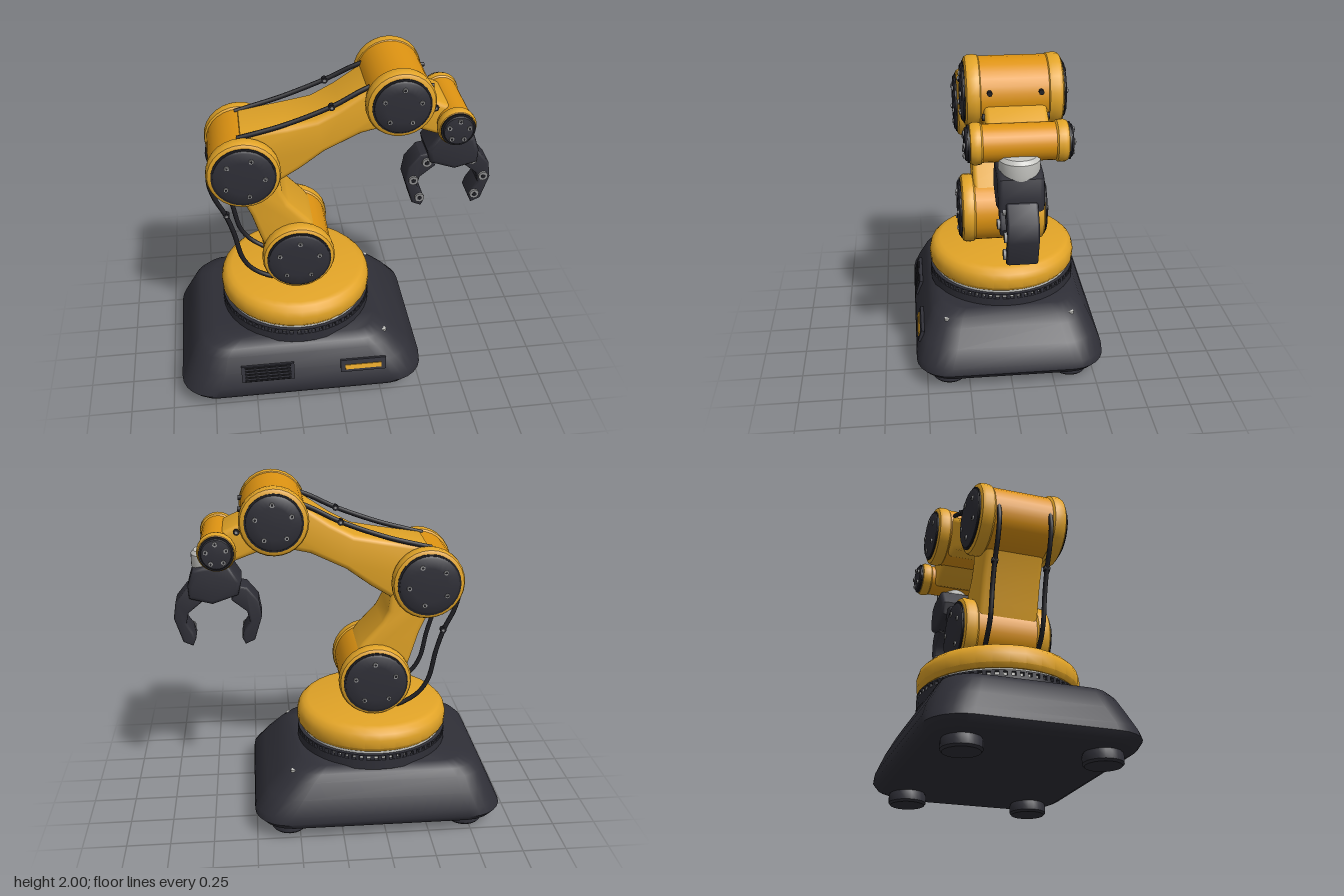
import * as THREE from 'three';
import { toCreasedNormals } from 'three/addons/utils/BufferGeometryUtils.js';

const mat = (name, color) => {
  const m = new THREE.MeshStandardMaterial({ color });
  m.name = name;
  return m;
};

export function createModel() {
  const yellow = mat('yellow paint', 0xe2a427);
  const orange = mat('orange paint', 0xdf9412);
  const dark = mat('dark shell', 0x2f2f37);
  const black = mat('black rubber', 0x1f1f24);
  const steel = mat('light steel', 0xc6c6c2);
  const boltGrey = mat('bolt grey', 0x8f8f90);
  const model = new THREE.Group();
  model.name = 'robotArm';

  const add = (name, geo, material, x = 0, y = 0, z = 0, parent = model) => {
    const m = new THREE.Mesh(geo, material);
    m.name = name;
    m.position.set(x, y, z);
    parent.add(m);
    return m;
  };
  const lathe = (pts, seg = 28) =>
    toCreasedNormals(new THREE.LatheGeometry(pts.map(p => new THREE.Vector2(...p)), seg), 0.6);
  const cyl = (r, h, seg = 28, r2 = r) => new THREE.CylinderGeometry(r, r2, h, seg);
  // Outline in x/y, thickened evenly to both sides with a bevelled edge
  const slab = (pts, half, bevel) => {
    const shape = new THREE.Shape(pts.map(p => new THREE.Vector2(...p)));
    const geo = new THREE.ExtrudeGeometry(shape, {
      depth: 2 * (half - bevel), bevelEnabled: true, bevelThickness: bevel,
      bevelSize: bevel, bevelOffset: -bevel, bevelSegments: 3,
    });
    geo.translate(0, 0, bevel - half);
    return toCreasedNormals(geo, 0.7);
  };
  // Round-headed bolt with a dark socket, facing +z of its parent
  const bolt = (x, y, z, r, parent = model) => {
    add('bolt', cyl(r, 0.016, 10).rotateX(Math.PI / 2), boltGrey, x, y, z, parent);
    add('boltSocket', cyl(r * 0.5, 0.004, 6).rotateX(Math.PI / 2), black, x, y, z + 0.008, parent);
  };

  // Base shell: rounded rectangles stacked into a tapered housing
  const levels = [ // y, left, right, half depth, corner radius
    [0.065, -0.88, 0.45, 0.50, 0.2], [0.085, -0.92, 0.485, 0.54, 0.2],
    [0.12, -0.94, 0.51, 0.56, 0.2], [0.165, -0.92, 0.505, 0.555, 0.2],
    [0.255, -0.88, 0.435, 0.52, 0.2], [0.34, -0.84, 0.35, 0.475, 0.18],
    [0.38, -0.80, 0.30, 0.45, 0.17], [0.41, -0.72, 0.235, 0.40, 0.15]];
  const pos = [], idx = [], CORNER = 6, N = 4 * (CORNER + 1);
  for (const [y, l, r, h, c] of levels) {
    for (let q = 0; q < 4; q++) for (let i = 0; i <= CORNER; i++) {
      const a = (q + i / CORNER) * Math.PI / 2;
      const cx = q === 0 || q === 3 ? r - c : l + c;
      const cz = q < 2 ? h - c : c - h;
      pos.push(cx + c * Math.cos(a), y, cz + c * Math.sin(a));
    }
  }
  for (let k = 0; k < levels.length - 1; k++) for (let i = 0; i < N; i++) {
    const a = k * N + i, b = k * N + (i + 1) % N;
    idx.push(a, a + N, b, b, a + N, b + N);
  }
  const top = (levels.length - 1) * N;
  for (let i = 1; i < N - 1; i++) idx.push(0, i, i + 1, top, top + i + 1, top + i);
  const baseGeo = new THREE.BufferGeometry();
  baseGeo.setAttribute('position', new THREE.Float32BufferAttribute(pos, 3));
  baseGeo.setIndex(idx);
  add('base', toCreasedNormals(baseGeo, 0.7), dark);

  // Feet and corner screws
  for (const x of [-0.735, 0.31]) for (const z of [-0.363, 0.363]) {
    add('foot', lathe([[0, 0], [0.095, 0], [0.105, 0.012], [0.105, 0.05], [0.09, 0.09], [0, 0.09]], 20),
      dark, x, 0, z);
  }
  for (const x of [-0.75, 0.28]) for (const z of [-0.37, 0.37]) {
    add('cornerScrew', cyl(0.016, 0.02, 10), steel, x, 0.368, z);
  }

  // Front vent and lamp, leaning with the shell
  const front = new THREE.Group();
  front.name = 'frontPanel';
  front.position.set(0, 0.25, 0.527);
  front.rotation.x = -0.3;
  model.add(front);
  const bar = (name, w, h, d, m, x, y, z) => add(name, new THREE.BoxGeometry(w, h, d), m, x, y, z, front);
  bar('ventPanel', 0.31, 0.1, 0.02, dark, -0.43, 0, 0);
  for (let i = 0; i < 5; i++) bar('ventSlat', 0.27, 0.008, 0.012, black, -0.43, -0.04 + i * 0.02, 0.012);
  bar('lampFrame', 0.27, 0.075, 0.02, dark, 0.135, 0, 0);
  bar('lamp', 0.215, 0.028, 0.016, yellow, 0.135, -0.005, 0.008);

  // Turntable with toothed ring
  const TX = -0.213;
  add('ringBase', cyl(0.448, 0.06, 40), dark, TX, 0.427);
  add('ringCore', cyl(0.425, 0.06, 40), steel, TX, 0.478);
  add('ringRim', cyl(0.446, 0.008, 40), dark, TX, 0.484);
  const teeth = new THREE.Group();
  teeth.name = 'ringTeeth';
  teeth.position.set(TX, 0.469, 0);
  model.add(teeth);
  const toothGeo = new THREE.BoxGeometry(0.022, 0.03, 0.03);
  for (let i = 0; i < 64; i++) {
    const a = i / 64 * Math.PI * 2;
    add('tooth', toothGeo, dark, 0.43 * Math.sin(a), 0, 0.43 * Math.cos(a), teeth).rotation.y = a;
  }
  add('turntable', lathe([[0, 0.495], [0.4, 0.495], [0.43, 0.505], [0.448, 0.53], [0.45, 0.58],
    [0.44, 0.615], [0.415, 0.64], [0.385, 0.648], [0, 0.65]], 32), yellow, TX);

  // Joint: barrel across z, with a flange, domed cap and five bolts at each end
  const joint = (name, x, y, R, barrelR, capR, inner, phase) => {
    const g = new THREE.Group();
    g.name = name;
    g.position.set(x, y, 0);
    model.add(g);
    add('barrel', cyl(barrelR, 2 * inner + 0.02).rotateX(Math.PI / 2), orange, 0, 0, 0, g);
    for (const s of [1, -1]) {
      const end = new THREE.Group();
      end.name = 'jointEnd';
      if (s < 0) end.rotation.y = Math.PI;
      g.add(end);
      const turned = (n, pts, m) => add(n, lathe(pts).rotateX(Math.PI / 2), m, 0, 0, 0, end);
      turned('flange', [[0, inner], [R - 0.015, inner], [R - 0.003, inner + 0.012], [R, inner + 0.03],
        [R, 0.225], [R - 0.008, 0.242], [R - 0.022, 0.25], [0, 0.25]], yellow);
      turned('seal', [[capR + 0.01, 0.245], [capR + 0.01, 0.255], [0, 0.255]], black);
      turned('cap', [[capR, 0.25], [capR, 0.26], [capR * 0.94, 0.267], [capR * 0.6, 0.271], [0, 0.273]], dark);
      for (let i = 0; i < 5; i++) {
        const a = (s > 0 ? phase : Math.PI - phase) + i * Math.PI * 0.4;
        bolt(capR * 0.69 * Math.cos(a), capR * 0.69 * Math.sin(a), 0.269, 0.014, end);
      }
    }
  };
  joint('shoulderJoint', -0.207, 0.855, 0.21, 0.198, 0.175, 0.165, 1.52);
  joint('elbowJoint', -0.497, 1.438, 0.205, 0.192, 0.168, 0.165, 1.17);
  joint('forearmJoint', 0.353, 1.81, 0.19, 0.182, 0.15, 0.165, 1.5);
  joint('wristJoint', 0.665, 1.65, 0.107, 0.096, 0.085, 0.178, 1.5);

  // Arm links
  add('lowerArm', slab([[-0.6, 1.42], [-0.535, 1.28], [-0.465, 1.12], [-0.42, 0.97], [-0.375, 0.84],
    [-0.2, 0.8], [-0.05, 0.93], [-0.14, 1.07], [-0.25, 1.19], [-0.285, 1.26], [-0.3, 1.37], [-0.42, 1.52]],
    0.175, 0.03), yellow);
  add('upperArm', slab([[-0.5, 1.635], [-0.255, 1.675], [-0.09, 1.705], [0.04, 1.775], [0.165, 1.86],
    [0.28, 1.93], [0.4, 1.8], [0.28, 1.635], [0.155, 1.607], [-0.045, 1.51], [-0.18, 1.41],
    [-0.3, 1.335], [-0.45, 1.3], [-0.6, 1.45]], 0.165, 0.03), yellow);
  add('wristLink', slab([[0.35, 1.86], [0.52, 1.795], [0.62, 1.75], [0.71, 1.68], [0.66, 1.6],
    [0.575, 1.572], [0.42, 1.63], [0.33, 1.7]], 0.16, 0.025), yellow);

  // Cables along both sides, with clips
  const cable = pts => new THREE.TubeGeometry(
    new THREE.CatmullRomCurve3(pts.map(p => new THREE.Vector3(...p))), 40, 0.014, 8);
  for (const s of [1, -1]) {
    add('lowerCable', cable([[-0.28, 0.645, s * 0.13], [-0.36, 0.66, s * 0.14], [-0.47, 0.73, s * 0.15],
      [-0.53, 0.82, s * 0.15], [-0.57, 1.0, s * 0.15], [-0.61, 1.13, s * 0.15], [-0.665, 1.25, s * 0.15],
      [-0.69, 1.36, s * 0.15], [-0.67, 1.46, s * 0.15]]), black);
    add('upperCable', cable([[-0.52, 1.625, s * 0.15], [-0.44, 1.645, s * 0.155], [-0.25, 1.697, s * 0.16],
      [0, 1.79, s * 0.16], [0.14, 1.86, s * 0.15], [0.24, 1.9, s * 0.14]]), black);
    for (const [x, y, z] of [[-0.605, 1.13, 0.15], [-0.01, 1.785, 0.16], [0.555, 1.742, 0.155]]) {
      add('cableClip', cyl(0.018, 0.03, 10).rotateX(Math.PI / 2), black, x, y, s * z);
      add('clipScrew', cyl(0.008, 0.034, 8).rotateX(Math.PI / 2), boltGrey, x, y, s * z);
    }
    add('cableStub', cyl(0.014, 0.05, 8).rotateZ(Math.PI / 2), black, 0.52, 1.86, s * 0.13);
  }

  // Wrist collar and gripper
  add('wristCollar', lathe([[0, 1.5], [0.102, 1.5], [0.106, 1.52], [0.106, 1.585], [0.09, 1.605], [0, 1.61]], 24),
    steel, 0.712);
  add('gripperBody', slab([[0.605, 1.545], [0.75, 1.535], [0.81, 1.51], [0.84, 1.42], [0.835, 1.345],
    [0.705, 1.31], [0.56, 1.36], [0.54, 1.44]], 0.117, 0.025), dark);
  const finger = [[0.51, 1.395], [0.445, 1.315], [0.43, 1.22], [0.475, 1.075], [0.53, 1.05], [0.548, 1.09],
    [0.535, 1.135], [0.5, 1.19], [0.515, 1.25], [0.6, 1.32], [0.56, 1.405]];
  for (const s of [1, -1]) {
    const fx = x => 0.68 + s * (x - 0.68);
    add('finger', slab(finger.map(([x, y]) => [fx(x), y]), 0.08, 0.012), dark);
    for (const [x, y] of [[0.548, 1.35], [0.475, 1.235], [0.517, 1.115]]) bolt(fx(x), y, 0.086, 0.028);
  }
  return model;
}
